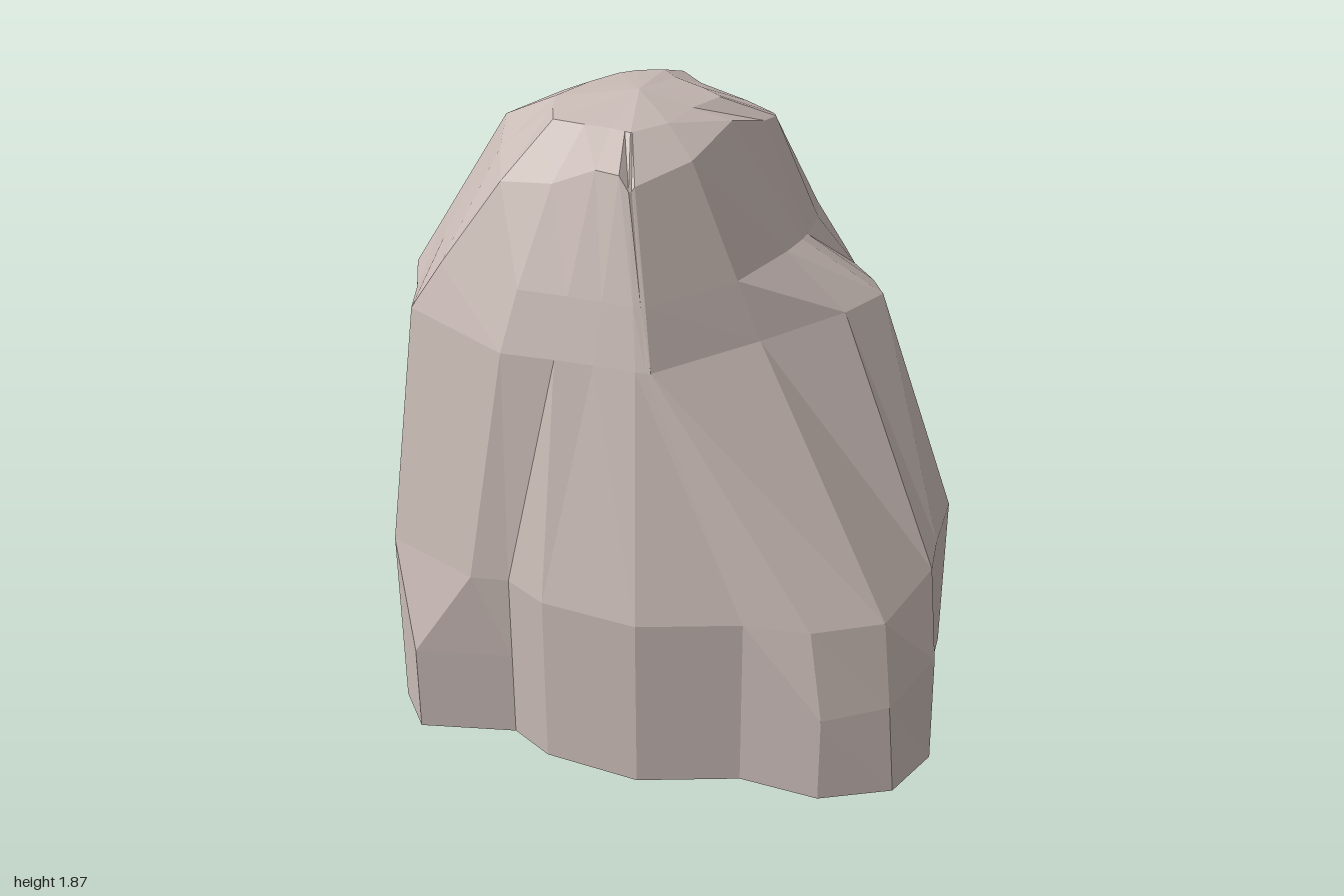
import * as THREE from 'three';

// Each outline runs counter-clockwise from above, starting at -x: x, z pairs.
const base = [
  -1, -.08, -.82, .30, -.64, .52, -.44, .69, -.22, .86, -.06, .90, .13, .68, .28, .66,
  .53, .51, .70, .26, .90, .13, 1, -.07, .95, -.26, .70, -.47, .53, -.68, .32, -.80,
  .13, -.85, -.06, -.90, -.27, -.91, -.44, -.88, -.66, -.67, -.82, -.47,
];
const waist = [
  -.83, -.05, -.73, .22, -.61, .52, -.45, .61, -.28, .72, .06, .63, .18, .53, .27, .46,
  .37, .39, .39, .37, .40, .36, .42, 0, .42, -.31, .39, -.48, .30, -.52, .18, -.55,
  .08, -.60, -.06, -.61, -.20, -.61, -.34, -.60, -.64, -.51, -.74, -.28,
];
const crown = [
  -.47, -.10, -.45, .08, -.38, .32, -.25, .42, -.12, .50, .02, .42, .13, .35, .20, .32,
  .23, .31, .23, .30, .23, .29, .23, .10, .13, -.11, .10, -.25, .09, -.30, .07, -.31,
  0, -.31, -.06, -.31, -.16, -.30, -.26, -.29, -.38, -.31, -.45, -.20,
];

// Turns an outline into a ring at height y; changes replaces single corners.
function ring(outline, y, changes = {}) {
  const points = [];
  for (let i = 0; i < outline.length / 2; i++) {
    points.push(changes[i] || [outline[2 * i], y, outline[2 * i + 1]]);
  }
  return points;
}

const blend = (a, b, t) => a.map((v, i) => v + (b[i] - v) * t);

export function createModel() {
  const rings = [
    ring(base, 0),
    // foot, where the walls start to lean
    ring(base, .28, { 11: [.965, .28, -.07], 12: [.94, .35, -.26] }),
    // shoulder, with the clefts at the front and the right-hand side
    ring(base, .55, {
      0: [-1, .63, -.08], 4: [-.22, .58, .86], 5: [.05, .55, .76],
      10: [.84, .55, .13], 11: [.925, .55, -.07], 12: [.80, .55, -.36],
      14: [.53, .52, -.68], 15: [.32, .48, -.80],
    }),
    ring(waist, 1.25, { 4: [-.28, 1.28, .72], 17: [-.06, 1.28, -.60] }),
    // hollow above the small ledge
    ring(blend(waist, crown, .34), 1.42, {
      12: [.28, 1.42, -.20], 13: [.24, 1.42, -.29], 14: [.20, 1.41, -.34], 15: [.14, 1.42, -.43],
    }),
    ring(crown, 1.75, {
      3: [-.25, 1.71, .42], 4: [-.12, 1.67, .50], 5: [.02, 1.69, .42], 8: [.23, 1.71, .31],
      9: [.23, 1.71, .30], 10: [.23, 1.72, .29], 12: [.13, 1.79, -.11],
    }),
    // cap around the summit
    ring(crown.map((v, i) => v * .6 + (i % 2 ? .04 : -.02)), 1.825),
  ];

  // Walls between neighbouring rings, then fans for the underside and summit
  const n = rings[0].length;
  const positions = rings.flat(2);
  const bottom = rings.length * n;
  const summit = bottom + 1;
  positions.push(0, 0, 0, -.05, 1.87, .08);
  const index = [];
  for (let i = 0; i < n; i++) {
    const j = (i + 1) % n;
    for (let r = 0; r < rings.length - 1; r++) {
      const low = r * n, high = low + n;
      index.push(low + i, low + j, high + i, low + j, high + j, high + i);
    }
    const last = (rings.length - 1) * n;
    index.push(j, i, bottom, last + i, last + j, summit);
  }
  const geometry = new THREE.BufferGeometry();
  geometry.setAttribute('position', new THREE.Float32BufferAttribute(positions, 3));
  geometry.setIndex(index);
  const faceted = geometry.toNonIndexed();
  faceted.computeVertexNormals();

  const rock = new THREE.Mesh(
    faceted,
    new THREE.MeshStandardMaterial({ color: 0xc8bab5, flatShading: true }),
  );
  rock.name = 'boulder';
  const group = new THREE.Group();
  group.name = 'rock';
  group.add(rock);
  return group;
}
